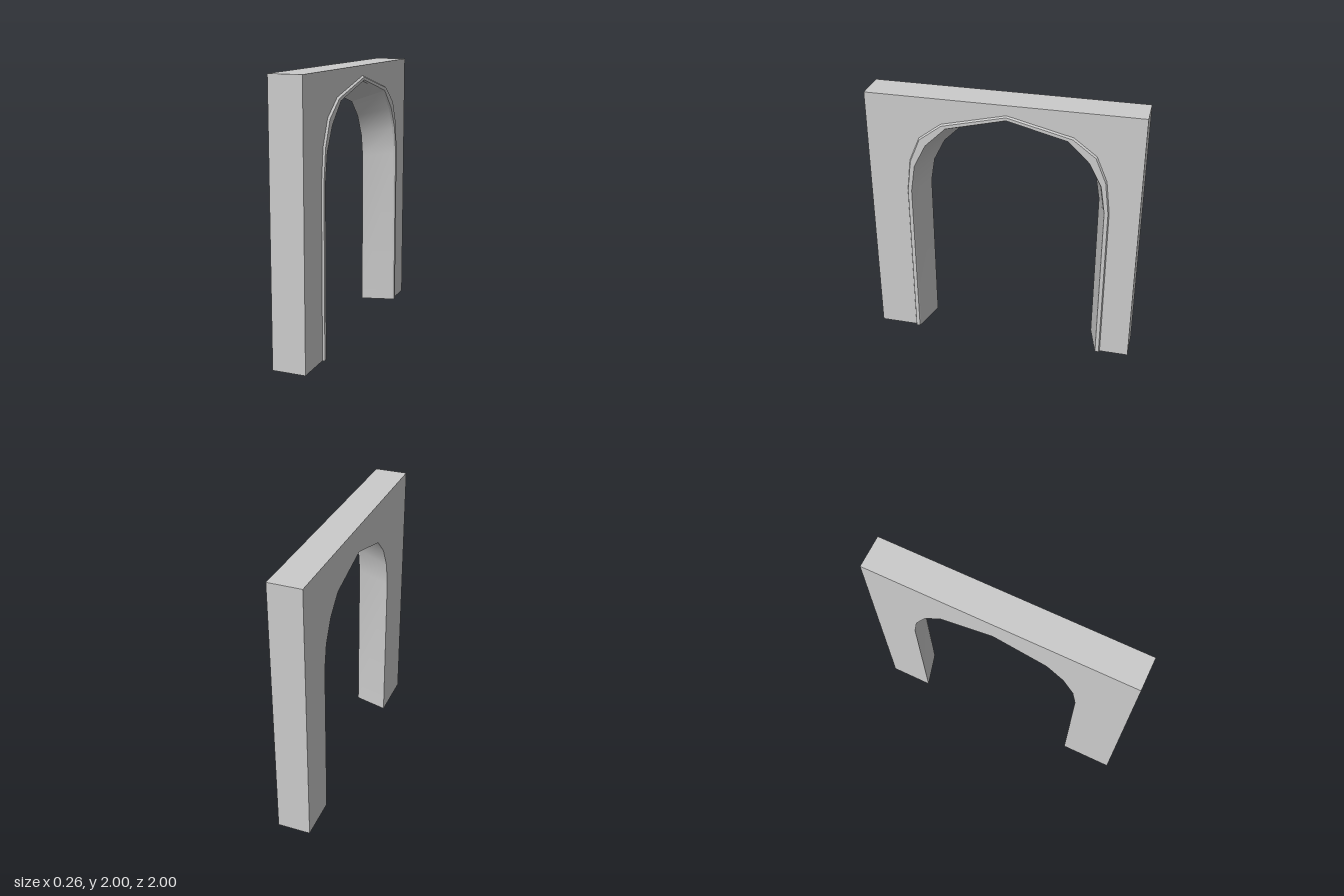
import * as THREE from 'three';
import { toCreasedNormals } from 'three/addons/utils/BufferGeometryUtils.js';

const ARCH_Z = -0.033; // the opening sits slightly off centre
const BACK = -0.13, WALL_FRONT = 0.115, FRONT = 0.13;

// Mirrors half an outline [half width, height] into a full rail from +z foot to -z foot
function rail(x, half, centre = ARCH_Z) {
  const left = half.map(([w, y]) => new THREE.Vector3(x, y, centre + w));
  const right = half.slice(0, -1).reverse().map(([w, y]) => new THREE.Vector3(x, y, centre - w));
  return [...left, ...right];
}

// Skins a closed loop of rails and caps both feet
function loft(rails) {
  const pos = [];
  const quad = (a, b, c, d) => [a, b, c, a, c, d].forEach((p) => pos.push(p.x, p.y, p.z));
  const last = rails[0].length - 1;
  rails.forEach((r, i) => {
    const next = rails[(i + 1) % rails.length];
    for (let j = 0; j < last; j++) quad(r[j], next[j], next[j + 1], r[j + 1]);
  });
  quad(...rails.map((r) => r[0]).reverse());
  quad(...rails.map((r) => r[last]));
  const geo = new THREE.BufferGeometry();
  geo.setAttribute('position', new THREE.Float32BufferAttribute(pos, 3));
  return toCreasedNormals(geo, 0.45);
}

// Half outlines, from foot to apex
const block = [[1, 0], [1, 1.25], [1, 1.5], [1, 1.75], [1, 2], [0, 2]];
const trimOuter = [[0.75, 0], [0.75, 1.25], [0.72, 1.5], [0.642, 1.685], [0.475, 1.81], [0, 1.925]];
const trimOuterTop = [[0.743, 0], [0.743, 1.25], [0.713, 1.493], [0.636, 1.677], [0.471, 1.801], [0, 1.916]];
const trimInnerTop = [[0.716, 0], [0.716, 1.252], [0.684, 1.46], [0.594, 1.634], [0.44, 1.783], [0, 1.894]];
const openingFront = [[0.71, 0], [0.71, 1.25], [0.678, 1.455], [0.588, 1.628], [0.436, 1.776], [0, 1.886]];
const openingBack = [[0.643, 0], [0.643, 1.22], [0.612, 1.4], [0.528, 1.565], [0.4, 1.69], [0, 1.8]];

export function createModel() {
  const group = new THREE.Group();
  group.name = 'archway';
  const material = new THREE.MeshStandardMaterial({ color: 0xcccccc });
  const add = (name, rails) => {
    const mesh = new THREE.Mesh(loft(rails), material);
    mesh.name = name;
    group.add(mesh);
  };

  // Wall block with its splayed arched opening
  add('archWall', [
    rail(BACK, block, 0),
    rail(WALL_FRONT, block, 0),
    rail(WALL_FRONT, openingFront),
    rail(BACK, openingBack),
  ]);

  // Thin raised moulding around the wide side of the opening
  add('archTrim', [
    rail(WALL_FRONT, trimOuter),
    rail(FRONT, trimOuterTop),
    rail(FRONT, trimInnerTop),
    rail(WALL_FRONT, openingFront),
  ]);

  return group;
}
